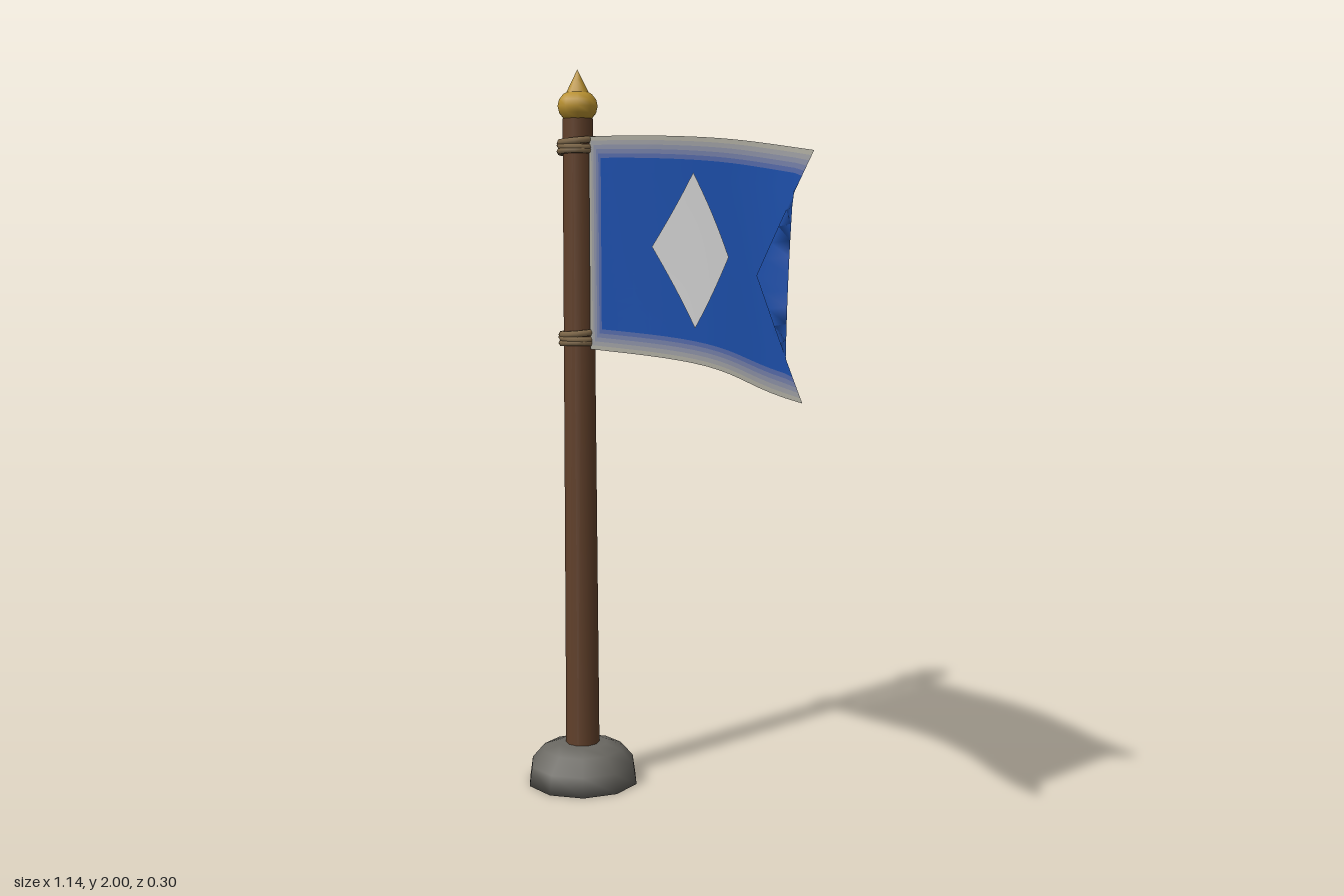
import * as THREE from 'three';

const POLE_X = -0.41;
const COLUMNS = 16;

const mat = (color, side = THREE.FrontSide) => new THREE.MeshStandardMaterial({ color, side });

// Point on the waving cloth: u runs from pole to tail, v from bottom to top
function clothPoint(u, v, lift = 0) {
  const amp = 0.089 - 0.03 * v * v;
  const last = Math.max(0, u * COLUMNS - (COLUMNS - 1));
  const notch = 0.168 * last * (1 - Math.abs(2 * v - 1));
  return [
    -0.36 + 0.929 * u - notch,
    1.245 + 0.575 * v - 0.058 * u * u,
    lift - amp * u * Math.sin(5.07 * u),
  ];
}

// Smooth surface through a grid of points given by point(column, row)
function gridGeometry(cols, rows, point) {
  const positions = [], index = [];
  for (const b of rows) for (const a of cols) positions.push(...point(a, b));
  const n = cols.length;
  for (let j = 0; j < rows.length - 1; j++) {
    for (let i = 0; i < n - 1; i++) {
      const k = j * n + i;
      index.push(k, k + 1, k + n + 1, k, k + n + 1, k + n);
    }
  }
  const g = new THREE.BufferGeometry();
  g.setAttribute('position', new THREE.Float32BufferAttribute(positions, 3));
  g.setIndex(index);
  g.computeVertexNormals();
  return g;
}

const steps = (a, b, n) => Array.from({ length: n + 1 }, (_, i) => a + (b - a) * i / n);

// Column positions shared by all pieces so that neighbouring edges meet
const columns = (u0, u1) =>
  [u0, ...steps(0, 1, COLUMNS).filter((u) => u > u0 + 1e-4 && u < u1 - 1e-4), u1];

export function createModel() {
  const model = new THREE.Group();
  const add = (parent, name, geometry, material) => {
    const mesh = new THREE.Mesh(geometry, material);
    mesh.name = name;
    parent.add(mesh);
    return mesh;
  };
  const lathe = (profile, sides) =>
    new THREE.LatheGeometry(profile.map(([r, y]) => new THREE.Vector2(r, y)), sides).rotateY(Math.PI / 2);

  // Pole with its stone foot and gilded finial
  const stand = new THREE.Group();
  stand.name = 'stand';
  stand.position.x = POLE_X;
  model.add(stand);
  add(stand, 'base', lathe([[0, 0.003], [0.16, 0], [0.152, 0.055], [0.115, 0.098], [0.07, 0.113], [0, 0.115]], 10),
    mat(0x6a6862));
  add(stand, 'pole', new THREE.CylinderGeometry(0.041, 0.048, 1.87, 10).translate(0, 0.935, 0), mat(0x61402a));
  const gold = mat(0xb8902f);
  add(stand, 'finialBall', new THREE.SphereGeometry(0.057, 10, 8).scale(1, 0.8, 1).translate(0, 1.902, 0), gold);
  add(stand, 'finialTip', lathe([[0.034, 1.932], [0.03, 1.942], [0.015, 1.971], [0, 2]], 10), gold);

  // Rope bindings, three slightly tilted turns each
  const rope = mat(0x80694a);
  for (const y of [1.795, 1.273]) {
    const binding = new THREE.Group();
    binding.name = 'ropeBinding';
    binding.position.y = y;
    stand.add(binding);
    for (let i = -1; i <= 1; i++) {
      const turn = add(binding, 'ropeTurn', new THREE.TorusGeometry(0.049, 0.01, 6, 16).rotateX(Math.PI / 2), rope);
      turn.position.y = i * 0.014;
      turn.rotation.set(0.06 * i, 0, 0.07 * (i === 0 ? -1 : 1));
    }
  }

  // Cloth: blue field with a pale hem fading in along three edges
  const flag = new THREE.Group();
  flag.name = 'flag';
  model.add(flag);
  const blue = new THREE.Color(0x1c4da6), pale = new THREE.Color(0xa9a79c);
  const piece = (name, u0, u1, v0, v1, rows, material) =>
    add(flag, name, gridGeometry(columns(u0, u1), steps(v0, v1, rows), clothPoint), material);

  const BANDS = 5, U = steps(0, 0.055, BANDS), V = steps(0, 0.1, BANDS);
  piece('field', U[BANDS], 1, V[BANDS], 1 - V[BANDS], 12, mat(blue, THREE.DoubleSide));
  for (let i = 0; i < BANDS; i++) {
    const material = mat(pale.clone().lerp(blue, i / BANDS), THREE.DoubleSide);
    piece('hemBottom', U[i], 1, V[i], V[i + 1], 1, material);
    piece('hemTop', U[i], 1, 1 - V[i + 1], 1 - V[i], 1, material);
    piece('hemSide', U[i], U[i + 1], V[i + 1], 1 - V[i + 1], 8, material);
  }

  // Diamond patch on both faces, following the waves
  const patch = mat(0xcccccc, THREE.DoubleSide);
  for (const lift of [0.004, -0.004]) {
    const geometry = gridGeometry(steps(0, 1, 8), steps(0, 1, 8), (a, b) =>
      clothPoint(0.447 + 0.178 * (a - b), 0.502 + 0.343 * (a + b - 1), lift));
    add(flag, lift > 0 ? 'diamondFront' : 'diamondBack', geometry, patch);
  }

  return model;
}
